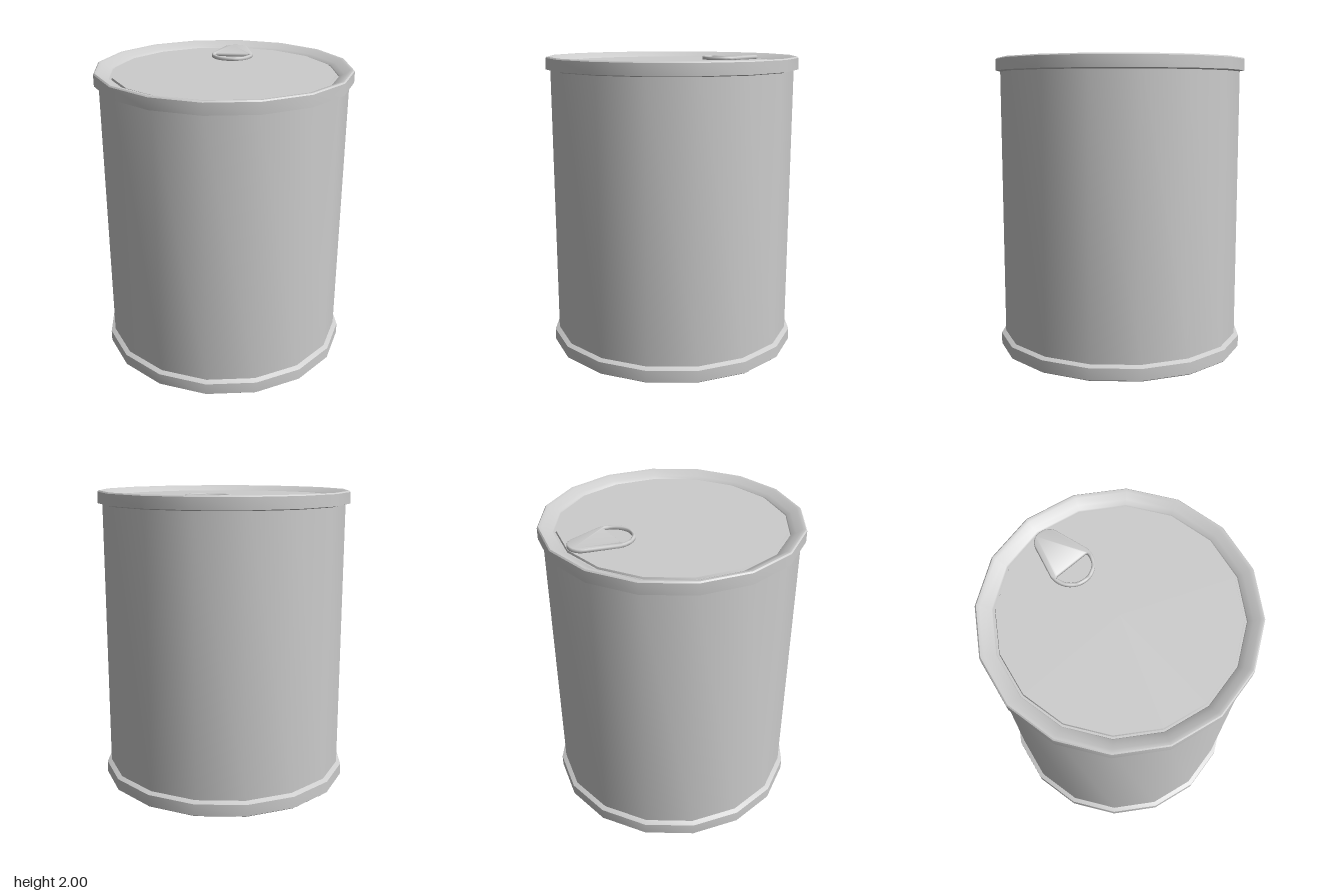
import * as THREE from 'three';
import { toCreasedNormals } from 'three/addons/utils/BufferGeometryUtils.js';

const SIDES = 16;
const LID_Y = 1.965;

export function createModel() {
  const can = new THREE.Group();
  can.name = 'tinCan';
  const metal = new THREE.MeshStandardMaterial({ color: 0xcccccc });
  metal.name = 'greyMetal';

  const add = (name, geometry, crease = 0.75) => {
    const mesh = new THREE.Mesh(toCreasedNormals(geometry, crease), metal);
    mesh.name = name;
    can.add(mesh);
    return mesh;
  };
  // Sixteen-sided turned part from [radius, height] pairs
  const turned = (name, profile) =>
    add(name, new THREE.LatheGeometry(profile.map(([r, y]) => new THREE.Vector2(r, y)), SIDES));

  // Base disc and lower rim with a sloping ledge
  turned('bottomRim', [[0, 0], [0.84, 0], [0.85, 0.008], [0.85, 0.085], [0.82, 0.1]]);

  // Straight wall
  turned('body', [[0.82, 0.1], [0.82, 1.91]]);

  // Upper rim, curving inwards down to a narrow groove
  turned('topRim', [
    [0.82, 1.91], [0.85, 1.917], [0.85, 1.992], [0.842, 2],
    [0.82, 1.998], [0.785, 1.97], [0.755, 1.96], [0.75, 1.952],
  ]);

  // Lid panel, raised slightly out of the groove
  turned('lid', [[0.75, 1.952], [0.737, 1.952], [0.733, LID_Y], [0, LID_Y]]);

  // Pull tab outline: broad finger end, tapered to a narrow rounded nose
  const outline = new THREE.Shape();
  outline.absarc(0, 0.435, 0.14, Math.PI, Math.PI * 2, false);
  outline.lineTo(0.14, 0.45);
  outline.absarc(0, 0.64, 0.085, 0.2, Math.PI - 0.2, false);
  outline.lineTo(-0.14, 0.45);
  outline.closePath();

  // Half-round finger opening
  const opening = new THREE.Path();
  opening.moveTo(-0.11, 0.436);
  opening.quadraticCurveTo(-0.128, 0.434, -0.128, 0.415);
  opening.absarc(0, 0.432, 0.126, Math.PI + 0.12, Math.PI * 2 - 0.12, false);
  opening.quadraticCurveTo(0.128, 0.434, 0.11, 0.436);
  opening.closePath();
  outline.holes.push(opening);

  const tab = new THREE.ExtrudeGeometry(outline, {
    depth: 0.016, curveSegments: 10,
    bevelEnabled: true, bevelThickness: 0.005, bevelSize: 0.005, bevelSegments: 1,
  });
  tab.rotateX(-Math.PI / 2);
  add('pullTab', tab, 0.9).position.y = LID_Y + 0.002;

  return can;
}
